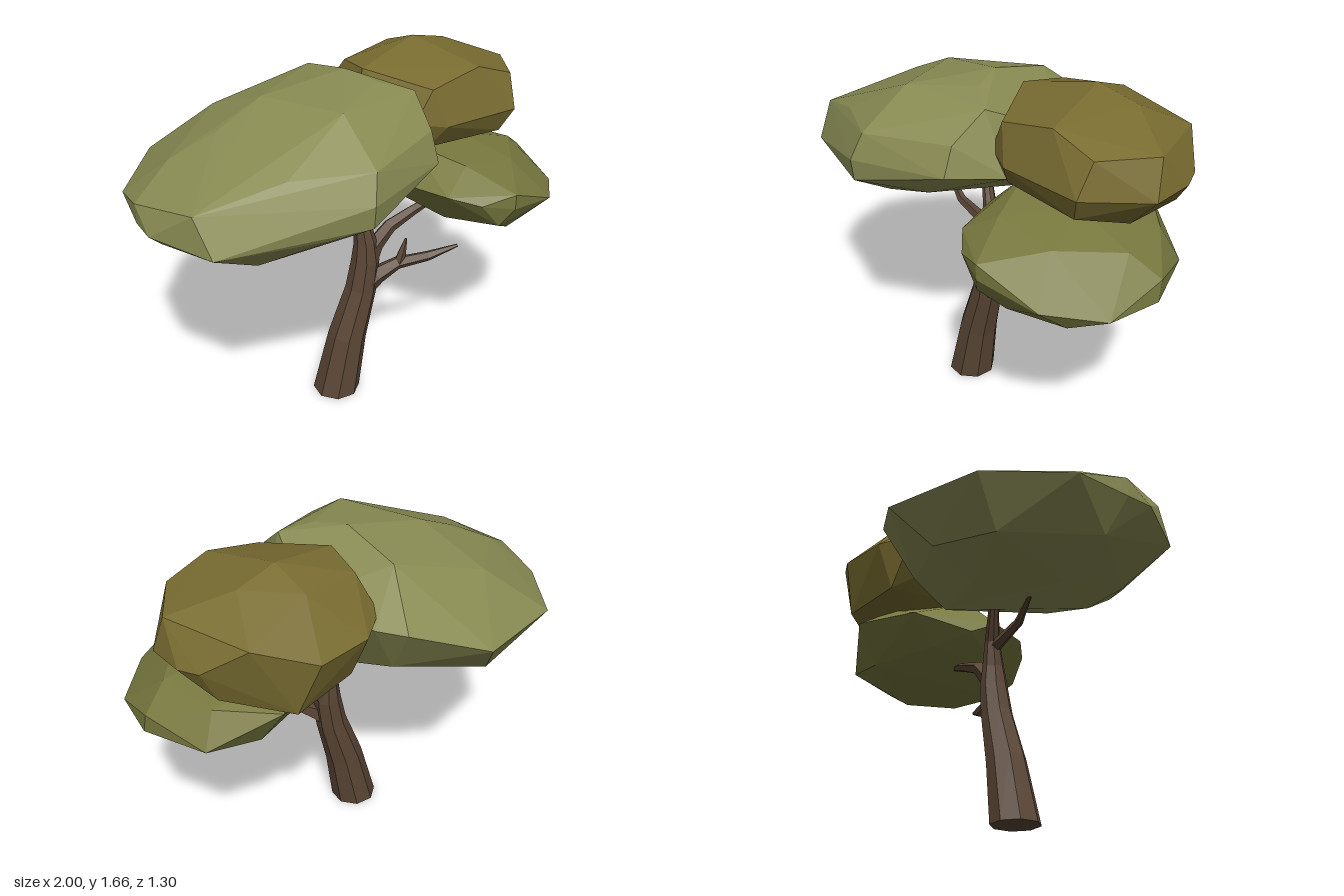
import * as THREE from 'three';
import { ConvexGeometry } from 'three/addons/geometries/ConvexGeometry.js';

const UP = new THREE.Vector3(0, 1, 0);
const mat = color => new THREE.MeshStandardMaterial({ color, flatShading: true });

// Faceted limb through [x, y, z, radius] stations, capped at both ends
function limbGeometry(stations, sides, flatBase = false) {
  const centres = stations.map(s => new THREE.Vector3(s[0], s[1], s[2]));
  const last = stations.length - 1;
  const position = [], index = [];
  const addRing = (i, radius) => {
    const dir = centres[Math.min(i + 1, last)].clone().sub(centres[Math.max(i - 1, 0)]).normalize();
    if (flatBase && i === 0) dir.copy(UP);
    const turn = new THREE.Quaternion().setFromUnitVectors(UP, dir);
    for (let k = 0; k < sides; k++) {
      const a = (k + 0.5) / sides * Math.PI * 2;
      const p = new THREE.Vector3(Math.cos(a) * radius, 0, Math.sin(a) * radius);
      position.push(...p.applyQuaternion(turn).add(centres[i]).toArray());
    }
  };
  addRing(0, 0);
  stations.forEach((s, i) => addRing(i, s[3]));
  addRing(last, 0);
  for (let r = 0; r < last + 2; r++) {
    for (let k = 0; k < sides; k++) {
      const a = r * sides + k, b = r * sides + (k + 1) % sides;
      index.push(a, a + sides, b, b, a + sides, b + sides);
    }
  }
  const indexed = new THREE.BufferGeometry();
  indexed.setAttribute('position', new THREE.Float32BufferAttribute(position, 3));
  indexed.setIndex(index);
  const geometry = indexed.toNonIndexed();
  geometry.computeVertexNormals();
  return geometry;
}

// Leaf clumps are faceted hulls around a few corner points
const CLUMPS = {
  largeLeafClump: {
    color: 0x898b53,
    points: [
      // rim
      [-1, 1.26, 0.1], [-1, 1.17, 0.1], [-0.99, 1.2, -0.14], [-0.99, 1.17, 0.23],
      [-0.82, 1.15, 0.49], [-0.86, 1.31, 0.4], [-0.77, 1.22, -0.48], [-0.3, 1.26, -0.65],
      [0.04, 1.38, -0.52], [0.13, 1.38, -0.41], [0.27, 1.42, -0.1], [0.315, 1.29, 0.2],
      [0.2, 1.32, 0.45], [-0.21, 1.21, 0.64], [-0.21, 1.31, 0.65], [-0.37, 1.17, 0.585],
      // crown
      [-0.82, 1.37, 0], [-0.62, 1.47, 0.04], [-0.4, 1.57, 0], [-0.02, 1.635, 0.02],
      [0.06, 1.61, 0.17], [0.2, 1.57, 0.24], [-0.2, 1.585, 0.36], [-0.05, 1.57, -0.28],
      [-0.5, 1.44, -0.33], [-0.5, 1.41, 0.48], [-0.18, 1.43, 0.6], [0.19, 1.45, 0.4],
      // underside
      [-0.9, 1.02, 0.05], [-0.62, 0.945, 0.05], [-0.7, 1.015, -0.35], [-0.35, 0.975, -0.25],
      [0.08, 1.065, -0.15], [-0.6, 1.01, 0.38], [-0.42, 1.05, -0.49], [0, 1.13, -0.36],
      [0, 1.16, 0.4], [-0.33, 1.04, 0.4],
    ],
  },
  goldenLeafClump: {
    color: 0x796c31,
    points: [
      // rim
      [0.45, 1.4, -0.53], [0.2, 1.4, -0.47], [0.07, 1.42, -0.35], [0.06, 1.42, -0.02],
      [0.22, 1.4, 0.22], [0.36, 1.38, 0.27], [0.75, 1.38, 0.23], [0.92, 1.36, -0.03],
      [0.9, 1.37, -0.22], [0.85, 1.38, -0.31],
      // crown
      [0.1, 1.595, -0.04], [0.12, 1.57, -0.25], [0.43, 1.665, -0.16], [0.62, 1.62, -0.2],
      [0.4, 1.6, -0.34], [0.88, 1.525, -0.08], [0.56, 1.6, 0.19], [0.76, 1.53, 0.16],
      [0.3, 1.55, 0.23], [0.7, 1.5, -0.44],
      // underside
      [0.77, 1.2, -0.05], [0.45, 1.2, -0.03], [0.52, 1.155, -0.46], [0.3, 1.27, 0.2],
      [0.7, 1.27, 0.19], [0.22, 1.19, -0.38], [0.78, 1.23, -0.3],
    ],
  },
  smallLeafClump: {
    color: 0x78793f,
    points: [
      // rim
      [1, 0.97, 0], [0.99, 1.06, -0.02], [0.99, 0.975, 0.25], [0.82, 1.01, 0.46],
      [0.55, 1.13, 0.55], [0.55, 1.06, 0.55], [0.4, 1.09, 0.51], [0.28, 1.12, 0.42],
      [0.17, 1.12, 0.2], [0.17, 1.04, 0.05], [0.24, 1.1, -0.24], [0.55, 1.13, -0.4],
      [0.85, 0.98, -0.28],
      // crown
      [0.28, 1.255, 0.1], [0.42, 1.21, 0.34], [0.6, 1.22, 0.05], [0.7, 1.17, 0.3],
      [0.87, 1.15, 0.05], [0.45, 1.2, -0.25], [0.78, 1.13, -0.22],
      // underside
      [0.53, 0.885, 0.12], [0.93, 0.905, 0.08], [0.35, 0.95, 0.3], [0.6, 0.905, 0.44],
      [0.5, 0.97, 0.51], [0.85, 0.91, 0.34], [0.6, 0.94, -0.28], [0.3, 0.97, -0.1],
    ],
  },
};

export function createModel() {
  const tree = new THREE.Group();
  tree.name = 'tree';
  const bark = mat(0x5a4635);

  const addLimb = (name, stations, sides = 5, flatBase = false) => {
    const limb = new THREE.Mesh(limbGeometry(stations, sides, flatBase), bark);
    limb.name = name;
    tree.add(limb);
  };

  // Leaning trunk, running on into the upright branch
  addLimb('trunk', [
    [-0.113, 0, 0.108, 0.115], [-0.05, 0.3, 0.106, 0.094], [0.025, 0.55, 0.105, 0.076],
    [0.048, 0.7, 0.103, 0.068], [0.047, 0.8, 0.1, 0.054], [0.03, 0.93, 0.085, 0.037],
    [-0.02, 1.03, 0.06, 0.029], [-0.065, 1.12, 0.04, 0.024],
  ], 8, true);

  // Branches
  addLimb('leftwardBranch', [
    [0.035, 0.9, 0.095, 0.032], [-0.06, 0.92, 0.095, 0.027], [-0.2, 0.935, 0.085, 0.022],
    [-0.35, 1.02, 0.06, 0.007],
  ]);
  addLimb('supportBranch', [
    [0.055, 0.67, 0.1, 0.05], [0.1, 0.77, 0.1, 0.042], [0.18, 0.85, 0.1, 0.034],
    [0.3, 0.9, 0.1, 0.026], [0.45, 0.955, 0.1, 0.018],
  ]);
  addLimb('lowBranch', [
    [0.02, 0.55, 0.11, 0.058], [0.1, 0.62, 0.135, 0.046], [0.19, 0.675, 0.165, 0.032],
    [0.34, 0.69, 0.2, 0.025], [0.475, 0.735, 0.245, 0.008],
  ]);
  addLimb('twig', [
    [0.19, 0.67, 0.17, 0.026], [0.21, 0.73, 0.17, 0.02], [0.23, 0.8, 0.17, 0.006],
  ]);

  // Foliage
  for (const [name, { color, points }] of Object.entries(CLUMPS)) {
    const hull = new ConvexGeometry(points.map(p => new THREE.Vector3(...p)));
    const clump = new THREE.Mesh(hull, mat(color));
    clump.name = name;
    tree.add(clump);
  }
  return tree;
}
